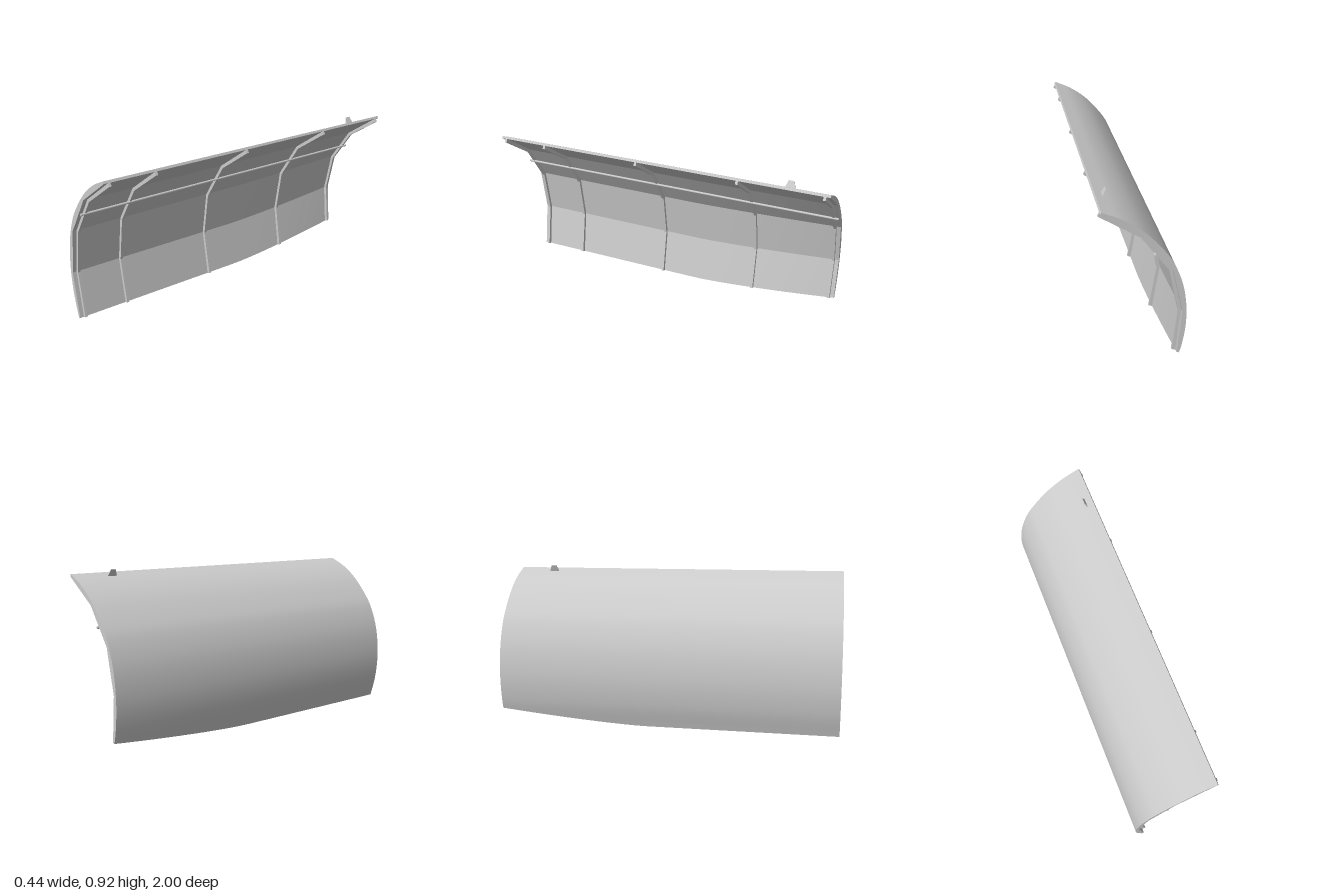
import * as THREE from 'three';

const mat = new THREE.MeshStandardMaterial({ color: 0xcccccc, side: THREE.DoubleSide });
const flatMat = new THREE.MeshStandardMaterial({ color: 0xcccccc, side: THREE.DoubleSide, flatShading: true });

// Outer cross-section, bottom edge to top edge
const profile = new THREE.CatmullRomCurve3([
  [-0.17, 0], [-0.205, 0.13], [-0.22, 0.29], [-0.2, 0.46], [-0.148, 0.6],
  [-0.1, 0.672], [0, 0.782], [0.1, 0.854], [0.203, 0.902],
].map(([x, y]) => new THREE.Vector3(x, y, 0)));

// The bottom edge sweeps up towards the back
const startOf = (z) => 0.07 * Math.pow(Math.max(0, (-z - 0.12) / 0.88), 1.4);

// Point at fraction f up the panel, set inwards by depth
function offsetPoint(f, z, depth) {
  const u0 = startOf(z);
  const u = Math.min(1, u0 + (1 - u0) * f);
  const p = profile.getPointAt(u);
  const t = profile.getTangentAt(u);
  return new THREE.Vector3(p.x + t.y * depth, p.y - t.x * depth, z);
}

// Point on the inner surface, faceted into four flat strips
function facetPoint(f, z, endDepth, midDepth) {
  const k = Math.min(3, Math.floor(f * 4));
  const corner = (i) => offsetPoint(i / 4, z, i === 0 || i === 4 ? endDepth : midDepth);
  return corner(k).lerp(corner(k + 1), f * 4 - k);
}
const innerSkin = (f, z) => facetPoint(f, z, 0.014, 0.02);
const ribFace = (f, z) => facetPoint(f, z, 0.034, 0.038);

// Surface from a grid of points
function gridMesh(name, rows, cols, pointAt, material) {
  const pos = [], index = [];
  for (let i = 0; i <= rows; i++) {
    for (let j = 0; j <= cols; j++) {
      const p = pointAt(i, j);
      pos.push(p.x, p.y, p.z);
      if (i < rows && j < cols) {
        const a = i * (cols + 1) + j, b = a + cols + 1;
        index.push(a, b, a + 1, b, b + 1, a + 1);
      }
    }
  }
  const geo = new THREE.BufferGeometry();
  geo.setAttribute('position', new THREE.Float32BufferAttribute(pos, 3));
  geo.setIndex(index);
  geo.computeVertexNormals();
  const mesh = new THREE.Mesh(geo, material);
  mesh.name = name;
  return mesh;
}

// Rib: rectangular bar following the facets, closed at both ends
function makeRib(z) {
  const half = 0.007;
  const section = (f, j) => {
    const side = j % 4;
    const zz = z + (side === 0 || side === 3 ? -half : half);
    return side < 2 ? innerSkin(f, zz) : ribFace(f, zz);
  };
  return gridMesh('rib', 6, 4, (i, j) => {
    const f = Math.min(4, Math.max(0, i - 1)) / 4;
    if (i === 0 || i === 6) return innerSkin(f, z).lerp(ribFace(f, z), 0.5);
    return section(f, j);
  }, flatMat);
}

export function createModel() {
  const model = new THREE.Group();
  const N = 48, M = 24;
  const zAt = (j) => 1 - (2 * j) / M;

  // Panel skins
  model.add(gridMesh('outerSkin', N, M, (i, j) => offsetPoint(i / N, zAt(j), 0), mat));
  for (let k = 0; k < 4; k++) {
    model.add(gridMesh('innerFacet', 1, M, (i, j) => innerSkin((k + 1 - i) / 4, zAt(j)), mat));
  }

  // Closing strips along the long edges and the two ends
  for (const f of [0, 1]) {
    model.add(gridMesh(f ? 'topEdge' : 'bottomEdge', 1, M, (i, j) =>
      (i === f ? innerSkin(f, zAt(j)) : offsetPoint(f, zAt(j), 0)), flatMat));
  }
  for (const z of [1, -1]) {
    model.add(gridMesh(z > 0 ? 'frontEdge' : 'backEdge', 1, N, (i, j) =>
      ((i === 0) === (z > 0) ? innerSkin(j / N, z) : offsetPoint(j / N, z, 0)), flatMat));
  }

  // Inner ribs
  for (const z of [0.97, 0.7, 0.1, -0.5, -0.97]) model.add(makeRib(z));

  // Long rod running across the ribs
  const rodPath = new THREE.CatmullRomCurve3([1, 0.4, -0.12, -0.55, -1].map((z) =>
    ribFace(0.655 - 0.4 * startOf(z), z)));
  const rod = new THREE.Mesh(new THREE.TubeGeometry(rodPath, 24, 0.007, 8), mat);
  rod.name = 'crossRod';
  model.add(rod);
  for (const z of [1, -1]) {
    const cap = new THREE.Mesh(new THREE.CircleGeometry(0.007, 8), mat);
    cap.position.copy(rodPath.getPoint(z > 0 ? 0 : 1));
    if (z < 0) cap.rotation.y = Math.PI;
    cap.name = 'rodCap';
    model.add(cap);
  }

  // Small tapered fin leaning out of the skin near the top
  const finGeo = new THREE.CylinderGeometry(0.5, 1, 1, 4, 1).rotateY(Math.PI / 4);
  finGeo.scale(0.0055, 0.044, 0.042);
  const fin = new THREE.Mesh(finGeo.toNonIndexed(), flatMat);
  fin.position.set(0.156, 0.899, -0.777);
  fin.rotation.z = 0.4;
  fin.name = 'fin';
  model.add(fin);

  return model;
}
